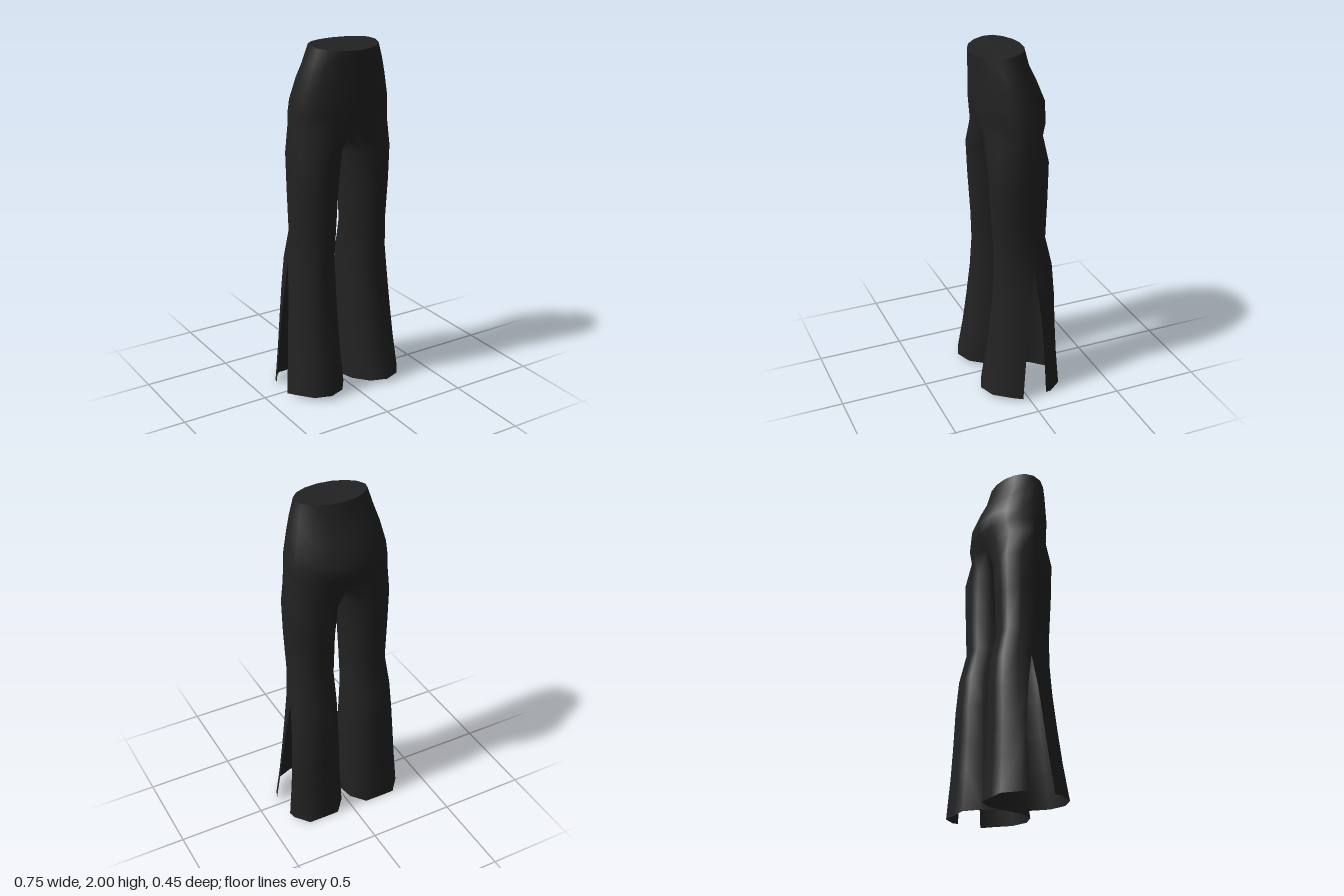
import * as THREE from 'three';
import { mergeVertices } from 'three/addons/utils/BufferGeometryUtils.js';

// Half rings of the pelvis: height, half width, front z, back z, widest z
const PELVIS = [
  [2.0, 0.203, 0.19, -0.09, 0.04],
  [1.9, 0.235, 0.185, -0.115, 0.03],
  [1.82, 0.26, 0.181, -0.155, 0.015],
  [1.7, 0.288, 0.179, -0.205, 0.0],
  [1.62, 0.297, 0.172, -0.206, -0.01],
  [1.55, 0.303, 0.165, -0.18, -0.015],
];

// Leg rings: height, centre x, half width, front z, back z, widest z, slit opening 0..1
const LEG = [
  [1.4, 0.157, 0.148, 0.16, -0.162, -0.01, 0],
  [1.2, 0.165, 0.135, 0.15, -0.157, -0.01, 0],
  [0.95, 0.165, 0.125, 0.136, -0.15, -0.02, 0],
  [0.78, 0.172, 0.134, 0.131, -0.188, -0.05, 0],
  [0.6, 0.177, 0.146, 0.141, -0.2, -0.05, 0.38],
  [0.4, 0.182, 0.158, 0.165, -0.204, -0.05, 0.66],
  [0.22, 0.186, 0.169, 0.19, -0.211, -0.045, 0.82],
  [0.0, 0.19, 0.185, 0.225, -0.226, -0.036, 1],
];

const SLIT = 4; // column of the outer side seam

function pelvisRing([y, w, front, back, mid], i) {
  const ring = [];
  for (let k = 0; k <= 8; k++) {
    const a = Math.PI / 2 - (k * Math.PI) / 8;
    const s = Math.sin(a);
    const z = mid + (s > 0 ? (front - mid) * s : (mid - back) * s);
    const x = k === 0 || k === 8 ? 0 : w * Math.cos(a);
    // the waistline dips toward the front
    ring.push([x, i === 0 ? y - Math.max(0, z) * 0.12 : y, z]);
  }
  ring.splice(SLIT, 0, ring[SLIT]);
  return ring;
}

function legRing([y, cx, w, front, back, mid, open]) {
  const ring = [];
  for (let k = 0; k < 12; k++) {
    const a = ((120 - 30 * k) * Math.PI) / 180;
    const s = Math.sin(a);
    const z = s > 0 ? mid + (front - mid) * s : mid - (mid - back) * Math.min(1, -s * 1.15);
    const hem = y === 0 ? 0.014 + 0.055 * z : y;
    const x = cx + w * Math.cos(a);
    if (k === SLIT) {
      // the seam splits into a front and a back edge
      ring.push([x, hem, z + 0.075 * open], [x - 0.015 * open, hem, z - 0.075 * open]);
    } else ring.push([x, hem, z]);
  }
  ring.push(ring[0]);
  return ring;
}

export function createModel() {
  const model = new THREE.Group();
  model.name = 'flaredTrousers';
  const cloth = new THREE.MeshStandardMaterial({ color: 0x222222, side: THREE.DoubleSide });
  cloth.name = 'blackCloth';

  const positions = [];
  const triangle = (mirror, a, b, c) => {
    for (const p of mirror < 0 ? [a, c, b] : [a, b, c]) positions.push(p[0] * mirror, p[1], p[2]);
  };
  const loft = (rings, mirror) => {
    for (let i = 0; i + 1 < rings.length; i++) {
      const top = rings[i], low = rings[i + 1];
      for (let k = 0; k + 1 < Math.min(top.length, low.length); k++) {
        if (k === SLIT) continue;
        triangle(mirror, top[k], low[k], low[k + 1]);
        triangle(mirror, top[k], low[k + 1], top[k + 1]);
      }
    }
  };

  const pelvis = PELVIS.map(pelvisRing);
  const hip = pelvis[pelvis.length - 1];
  hip[0] = [0, 1.56, 0.135];
  hip[9] = [0, 1.53, -0.15];
  // the arch of the crotch closes the top ring of each leg
  const crotch = [...hip, [0, 1.49, -0.08], [0, 1.465, -0.01], [0, 1.49, 0.06], hip[0]];
  const legs = [crotch, ...LEG.map(legRing)];

  // Surfaces share one set of vertices so the shading runs smoothly across seams
  const ranges = [];
  const part = (name, build) => {
    const start = positions.length / 3;
    build();
    ranges.push([name, start, positions.length / 3]);
  };
  part('pelvis', () => [1, -1].forEach((m) => loft(pelvis, m)));
  part('leftLeg', () => loft(legs, 1));
  part('rightLeg', () => loft(legs, -1));

  const soup = new THREE.BufferGeometry();
  soup.setAttribute('position', new THREE.Float32BufferAttribute(positions, 3));
  const body = mergeVertices(soup, 1e-5);
  body.computeVertexNormals();
  const index = Array.from(body.index.array);
  for (const [name, start, end] of ranges) {
    const geometry = new THREE.BufferGeometry();
    geometry.setAttribute('position', body.attributes.position);
    geometry.setAttribute('normal', body.attributes.normal);
    geometry.setIndex(index.slice(start, end));
    const mesh = new THREE.Mesh(geometry, cloth);
    mesh.name = name;
    model.add(mesh);
  }

  // Flat cover closing the waist
  const start = positions.length;
  const waist = pelvis[0];
  for (const m of [1, -1]) {
    for (let k = 0; k + 1 < waist.length; k++) {
      if (k !== SLIT) triangle(m, [0, 1.993, 0.04], waist[k], waist[k + 1]);
    }
  }
  const cover = new THREE.BufferGeometry();
  cover.setAttribute('position', new THREE.Float32BufferAttribute(positions.slice(start), 3));
  cover.computeVertexNormals();
  const coverMesh = new THREE.Mesh(cover, cloth);
  coverMesh.name = 'waistCover';
  model.add(coverMesh);

  return model;
}
